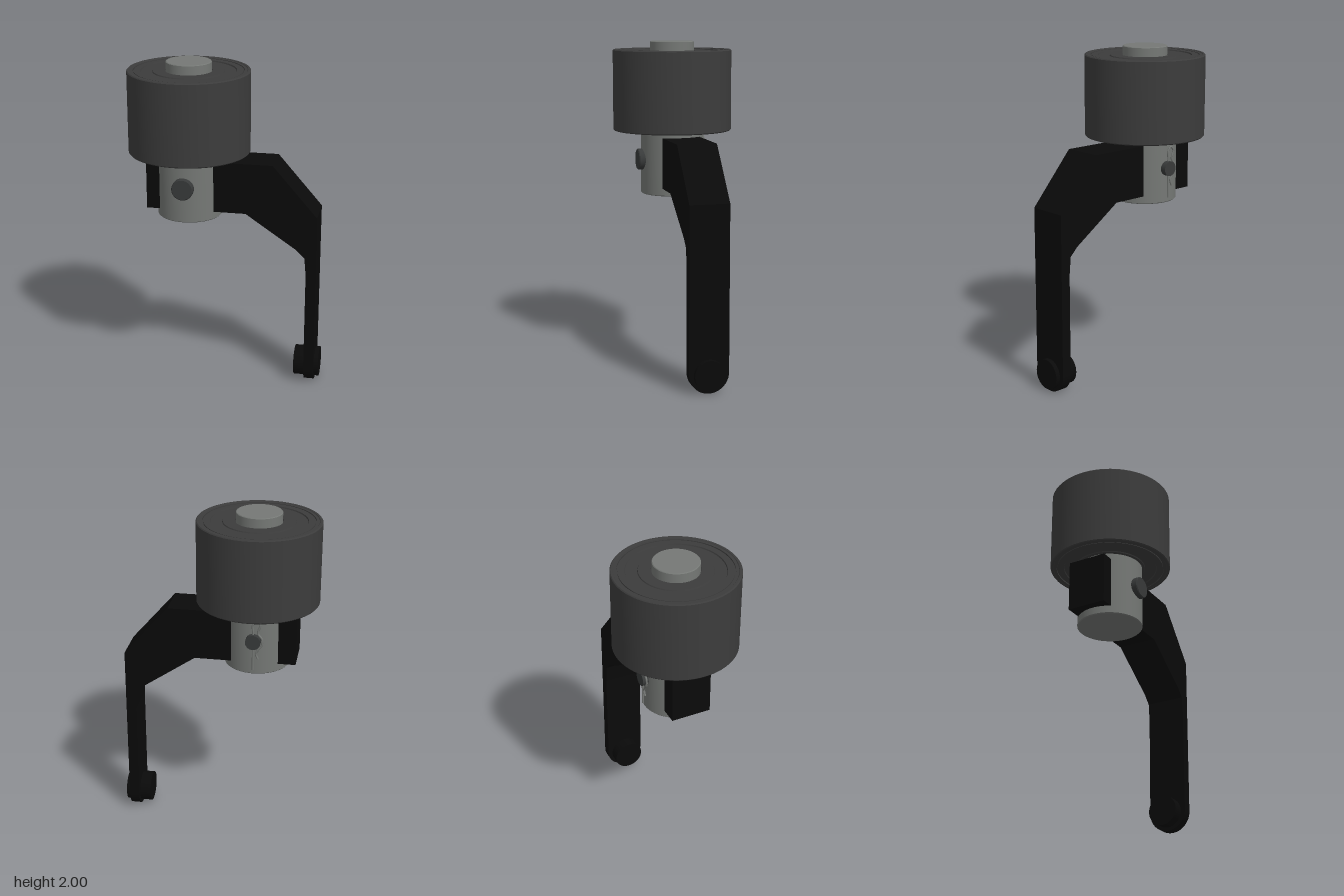
import * as THREE from 'three';
import { toCreasedNormals } from 'three/addons/utils/BufferGeometryUtils.js';

const material = (name, color, side = THREE.FrontSide) => {
  const m = new THREE.MeshStandardMaterial({ color, side });
  m.name = name;
  return m;
};

export function createModel() {
  const model = new THREE.Group();
  const rubber = material('dark grey rubber', 0x3c3c3c);
  const steel = material('grey steel', 0x757875);
  const black = material('black paint', 0x0a0a0a);
  const pinMetal = material('dark pin metal', 0x383a3a);
  const axisX = -0.23, armZ = -0.016, pinY = 1.275;

  const add = (name, geometry, mat, x = 0, y = 0, z = 0) => {
    const mesh = new THREE.Mesh(geometry, mat);
    mesh.name = name;
    mesh.position.set(x, y, z);
    model.add(mesh);
    return mesh;
  };
  const lathe = (points, segments = 72) => toCreasedNormals(
    new THREE.LatheGeometry(points.map(([r, y]) => new THREE.Vector2(r, y)), segments), 0.5);

  // Roller: the same stepped face, from hub to rim, at both ends
  const face = [[0.13, 0.012], [0.14, 0.012], [0.14, 0.006], [0.21, 0.006], [0.213, 0.012],
    [0.28, 0.012], [0.283, 0.005], [0.322, 0.005], [0.322, 0.012], [0.328, 0.012],
    [0.328, 0.004], [0.345, 0.004], [0.348, 0], [0.36, 0], [0.365, 0.006]];
  const bottom = face.map(([r, d]) => [r, 1.455 + d]);
  const top = face.map(([r, d]) => [r, 1.95 - d]).reverse();
  add('roller', lathe([...bottom, ...top]), rubber, axisX);

  // Stepped shaft through the roller
  add('shaft', lathe([[0, 1.062], [0.19, 1.062], [0.195, 1.067], [0.195, 1.458], [0.135, 1.458],
    [0.135, 1.996], [0.131, 2], [0, 2]], 64), steel, axisX);

  // Bent arm, extruded across its width
  const outline = [[-0.475, 1.11], [0.13, 1.11], [0.44, 0.9], [0.49, 0.85], [0.5, 0.74],
    [0.5, 0.12], [0.56, 0.12], [0.56, 1.11], [0.29, 1.42], [-0.475, 1.42]];
  const armShape = new THREE.Shape(outline.map(([x, y]) => new THREE.Vector2(x, y)));
  add('arm', new THREE.ExtrudeGeometry(armShape, { depth: 0.24, bevelEnabled: false }),
    black, 0, 0, armZ - 0.12);

  // Rounded foot of the arm
  add('armEnd', new THREE.CylinderGeometry(0.12, 0.12, 0.06, 40, 1, false, Math.PI, Math.PI)
    .rotateZ(Math.PI / 2), black, 0.53, 0.12, armZ);

  // Button through the foot
  add('footButton', new THREE.CylinderGeometry(0.092, 0.092, 0.155, 40).rotateZ(Math.PI / 2),
    black, 0.51, 0.112, armZ);

  // Cross pin with a wide head at the front
  add('pinHead', lathe([[0, 0], [0.065, 0], [0.065, 0.04], [0.06, 0.045], [0, 0.045]], 40)
    .rotateX(Math.PI / 2), pinMetal, axisX, pinY, 0.178);
  add('pinShank', new THREE.CylinderGeometry(0.045, 0.045, 0.4, 32).rotateX(Math.PI / 2),
    pinMetal, axisX, pinY, -0.025);

  // Spring clip: one straight leg through the pin, one leg curved round it
  const clipPath = new THREE.CatmullRomCurve3([[0, -0.18], [0, -0.06], [0, 0.06], [0.002, 0.105],
    [-0.018, 0.13], [-0.042, 0.108], [-0.03, 0.07], [-0.03, 0.05], [-0.052, 0.02], [-0.052, -0.02],
    [-0.03, -0.05], [-0.018, -0.075], [-0.03, -0.11]]
    .map(([x, y]) => new THREE.Vector3(x, y, 0)));
  add('springClip', new THREE.TubeGeometry(clipPath, 90, 0.006, 8), steel, axisX, pinY, -0.207);

  return model;
}
